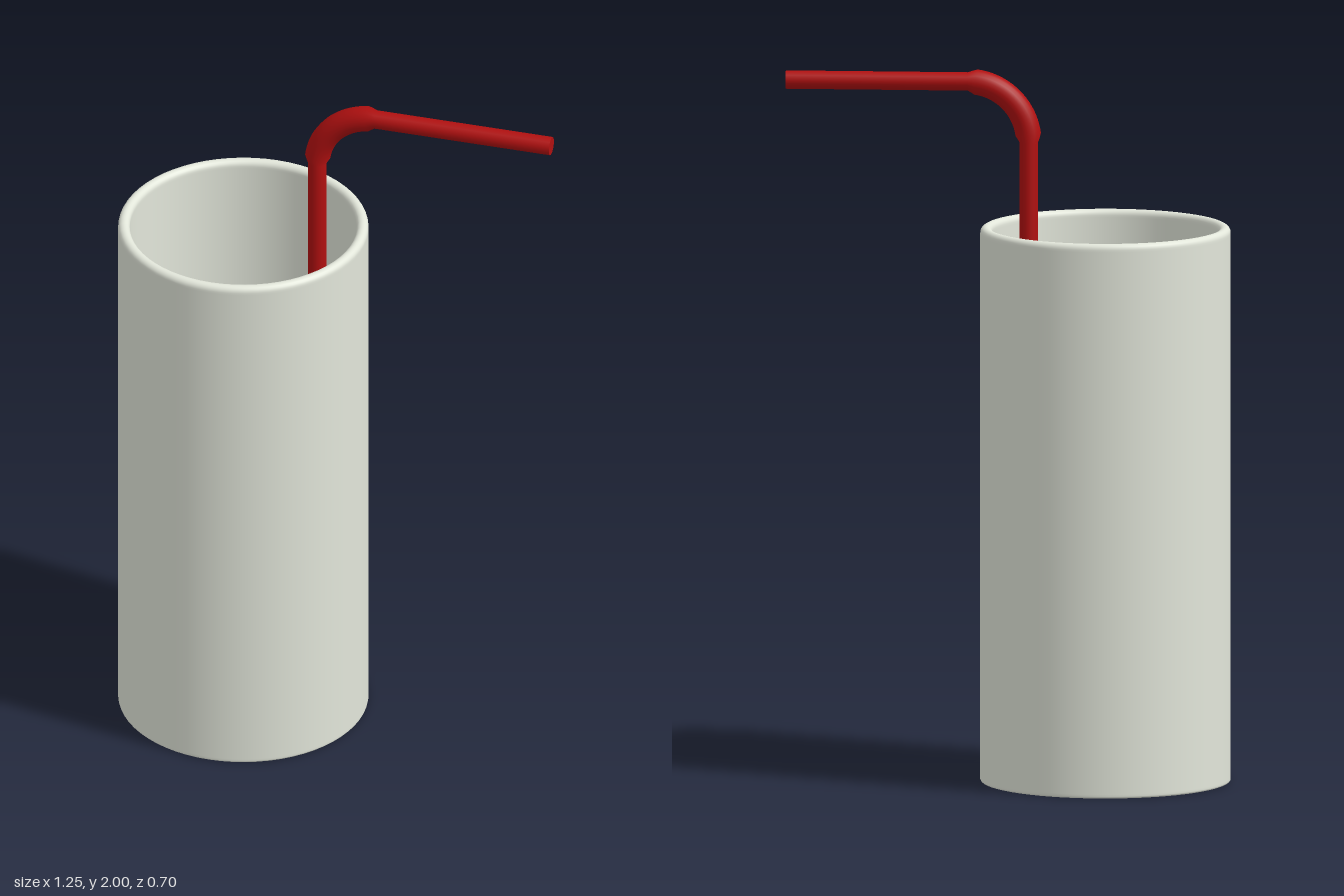
import * as THREE from 'three';

const R = 0.35, INNER = 0.317, HEIGHT = 1.565, GLASS_X = -0.275;
const STRAW_R = 0.026, BEND_R = 0.036, STRAW_X = -0.06, ARC = 0.17, ARC_Y = 1.8, STRAW_END = 0.62;

// Points on a circular arc, used for rounded corners of the cup profile
function arc(cx, cy, r, from, to, steps) {
  return Array.from({ length: steps + 1 }, (_, i) => {
    const a = THREE.MathUtils.degToRad(from + ((to - from) * i) / steps);
    return new THREE.Vector2(cx + r * Math.cos(a), cy + r * Math.sin(a));
  });
}

// Straight capped length of straw between two points
function straightStraw(name, from, to, material) {
  const axis = to.clone().sub(from);
  const mesh = new THREE.Mesh(new THREE.CylinderGeometry(STRAW_R, STRAW_R, axis.length(), 20), material);
  mesh.position.copy(from).add(to).multiplyScalar(0.5);
  mesh.quaternion.setFromUnitVectors(new THREE.Vector3(0, 1, 0), axis.normalize());
  mesh.name = name;
  return mesh;
}

// Thicker quarter bend, narrowing to the straw at both ends
function bendGeometry() {
  const curve = new THREE.Curve();
  curve.getPoint = (t, target = new THREE.Vector3()) => {
    const a = Math.PI - (t * Math.PI) / 2;
    return target.set(STRAW_X + ARC + ARC * Math.cos(a), ARC_Y + ARC * Math.sin(a), 0);
  };
  const rings = 24, sides = 20;
  const geometry = new THREE.TubeGeometry(curve, rings, 1, sides);
  const pos = geometry.attributes.position;
  const p = new THREE.Vector3();
  for (let i = 0; i <= rings; i++) {
    const centre = curve.getPointAt(i / rings);
    const blend = Math.min(1, Math.min(i, rings - i) / 2);
    const radius = THREE.MathUtils.lerp(STRAW_R, BEND_R, blend);
    for (let j = 0; j <= sides; j++) {
      const k = i * (sides + 1) + j;
      p.fromBufferAttribute(pos, k).sub(centre).setLength(radius).add(centre);
      pos.setXYZ(k, p.x, p.y, p.z);
    }
  }
  return geometry;
}

export function createModel() {
  const model = new THREE.Group();
  model.name = 'cupWithStraw';
  const cupMaterial = new THREE.MeshStandardMaterial({ color: 0xe2e6da });
  const strawMaterial = new THREE.MeshStandardMaterial({ color: 0xb01010 });

  // Hollow cup: recessed base, foot ring, wall, rounded rim, filleted floor
  const v = (x, y) => new THREE.Vector2(x, y);
  const rim = (R - INNER) / 2;
  const profile = [
    v(0, 0.012), v(0.318, 0.012), v(0.32, 0.012), v(0.32, 0.01), v(0.321, 0.002), v(0.324, 0),
    ...arc(R - 0.006, 0.006, 0.006, -90, 0, 3), v(R, 0.012),
    v(R, HEIGHT - rim - 0.006),
    ...arc(R - rim, HEIGHT - rim, rim, 0, 180, 10),
    v(INNER, HEIGHT - rim - 0.006), v(INNER, 0.075),
    ...arc(INNER - 0.035, 0.07, 0.035, 0, -90, 5),
    v(INNER - 0.04, 0.035), v(0, 0.035),
  ];
  const cup = new THREE.Mesh(new THREE.LatheGeometry(profile, 64), cupMaterial);
  cup.name = 'cup';
  cup.position.x = GLASS_X;
  model.add(cup);

  // Bent drinking straw
  const straw = new THREE.Group();
  straw.name = 'straw';
  const bend = new THREE.Mesh(bendGeometry(), strawMaterial);
  bend.name = 'strawBend';
  straw.add(
    straightStraw('strawStem', new THREE.Vector3(STRAW_X, 0.035, 0), new THREE.Vector3(STRAW_X, ARC_Y, 0), strawMaterial),
    bend,
    straightStraw('strawMouthpiece', new THREE.Vector3(STRAW_X + ARC, ARC_Y + ARC, 0), new THREE.Vector3(STRAW_END, ARC_Y + ARC, 0), strawMaterial),
  );
  model.add(straw);
  return model;
}
